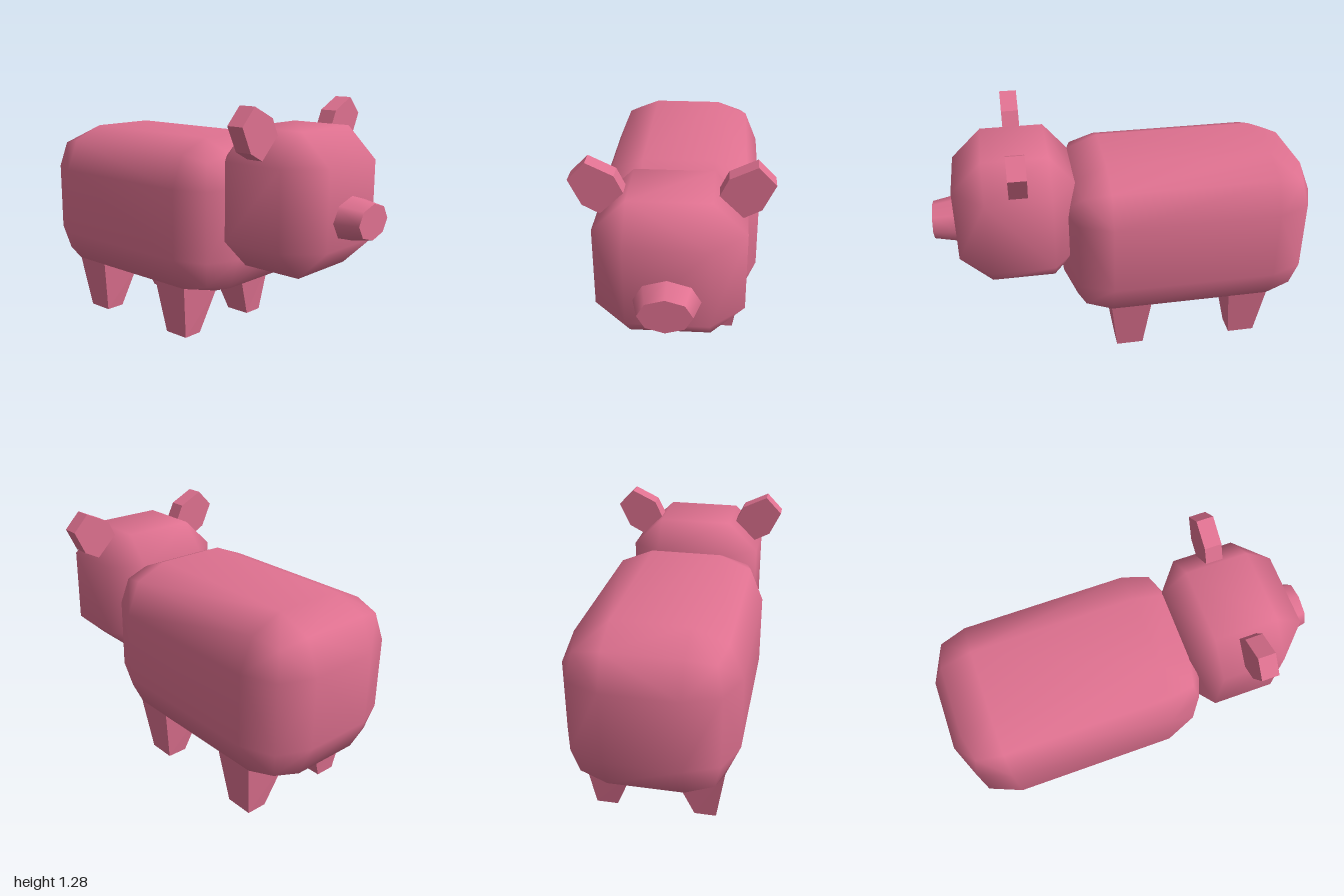
import * as THREE from 'three';
import { mergeVertices } from 'three/addons/utils/BufferGeometryUtils.js';
import { ConvexGeometry } from 'three/addons/geometries/ConvexGeometry.js';

const SIGNS = [-1, 1];

// Smooth-shaded convex hull
function smoothHull(points) {
  const hull = new ConvexGeometry(points);
  hull.deleteAttribute('normal');
  const geometry = mergeVertices(hull, 1e-4);
  geometry.computeVertexNormals();
  return geometry;
}

// Points of a box with bevelled edges: one corner cluster per octant.
// directions are the offsets from the inner box corner, scaled by bevel.
function bevelPoints(half, bevel, directions) {
  const points = [];
  for (const sx of SIGNS) for (const sy of SIGNS) for (const sz of SIGNS) {
    for (const d of directions) {
      const p = half.clone().sub(bevel).add(d.clone().multiply(bevel));
      points.push(p.multiply(new THREE.Vector3(sx, sy, sz)));
    }
  }
  return points;
}

export function createModel() {
  const pig = new THREE.Group();
  pig.name = 'pig';
  const skin = new THREE.MeshStandardMaterial({ color: 0xdf7190 });
  const flatSkin = new THREE.MeshStandardMaterial({ color: 0xdf7190, flatShading: true });

  const add = (name, geometry, material) => {
    const mesh = new THREE.Mesh(geometry, material);
    mesh.name = name;
    pig.add(mesh);
    return mesh;
  };

  const axes = [[1, 0, 0], [0, 1, 0], [0, 0, 1]].map(a => new THREE.Vector3(...a));
  const diagonals = [[1, 1, 0], [1, 0, 1], [0, 1, 1], [1, 1, 1]]
    .map(a => new THREE.Vector3(...a).normalize());

  // Body: two-step bevel, with the belly narrowed between the legs
  const bodyHalf = new THREE.Vector3(0.425, 0.425, 0.67);
  const bodyPoints = bevelPoints(bodyHalf, new THREE.Vector3(0.24, 0.24, 0.24), [...axes, ...diagonals]);
  for (const p of bodyPoints) if (p.y < -0.424) p.x = Math.sign(p.x) * 0.11;
  add('body', smoothHull(bodyPoints), skin).position.set(0, 0.65, -0.33);

  // Head: single chamfer, shallower at the back
  const headPoints = bevelPoints(
    new THREE.Vector3(0.355, 0.3525, 0.325), new THREE.Vector3(0.16, 0.155, 0.16), axes);
  for (const p of headPoints) if (p.z < -0.3) p.z += 0.03;
  add('head', smoothHull(headPoints), skin).position.set(0, 0.8025, 0.555);

  // Snout: flattened eight-sided taper
  const snout = new THREE.CylinderGeometry(0.125, 0.16, 0.14, 8);
  snout.rotateX(Math.PI / 2);
  snout.scale(1, 0.7, 1);
  add('snout', snout, skin).position.set(0, 0.741, 0.93);

  for (const side of SIGNS) {
    const label = side > 0 ? 'left' : 'right';

    // Ear: hexagonal plate rooted in the upper chamfer of the head
    const outline = [[0.2, 1.09], [0.29, 1.0], [0.415, 1.065], [0.475, 1.19], [0.39, 1.277], [0.26, 1.215]];
    const shape = new THREE.Shape(outline.map(([x, y]) => new THREE.Vector2(side * x, y)));
    const ear = new THREE.ExtrudeGeometry(shape, { depth: 0.09, bevelEnabled: false });
    add(label + 'Ear', ear, flatSkin).position.z = 0.51;

    // Legs: tapered blocks growing out of the slanted lower edge
    for (const [end, z] of [['Front', -0.003], ['Back', -0.653]]) {
      const leg = new THREE.BoxGeometry(1, 1, 1);
      const pos = leg.attributes.position;
      for (let i = 0; i < pos.count; i++) {
        const top = pos.getY(i) > 0;
        const outer = pos.getX(i) * side > 0;
        const x = top ? (outer ? 0.355 : 0.11) : (outer ? 0.31 : 0.2);
        const y = top ? (outer ? 0.296 : 0.226) : 0;
        pos.setXYZ(i, side * x, y, Math.sign(pos.getZ(i)) * (top ? 0.108 : 0.073));
      }
      add(label + end + 'Leg', leg, flatSkin).position.z = z;
    }
  }
  return pig;
}
